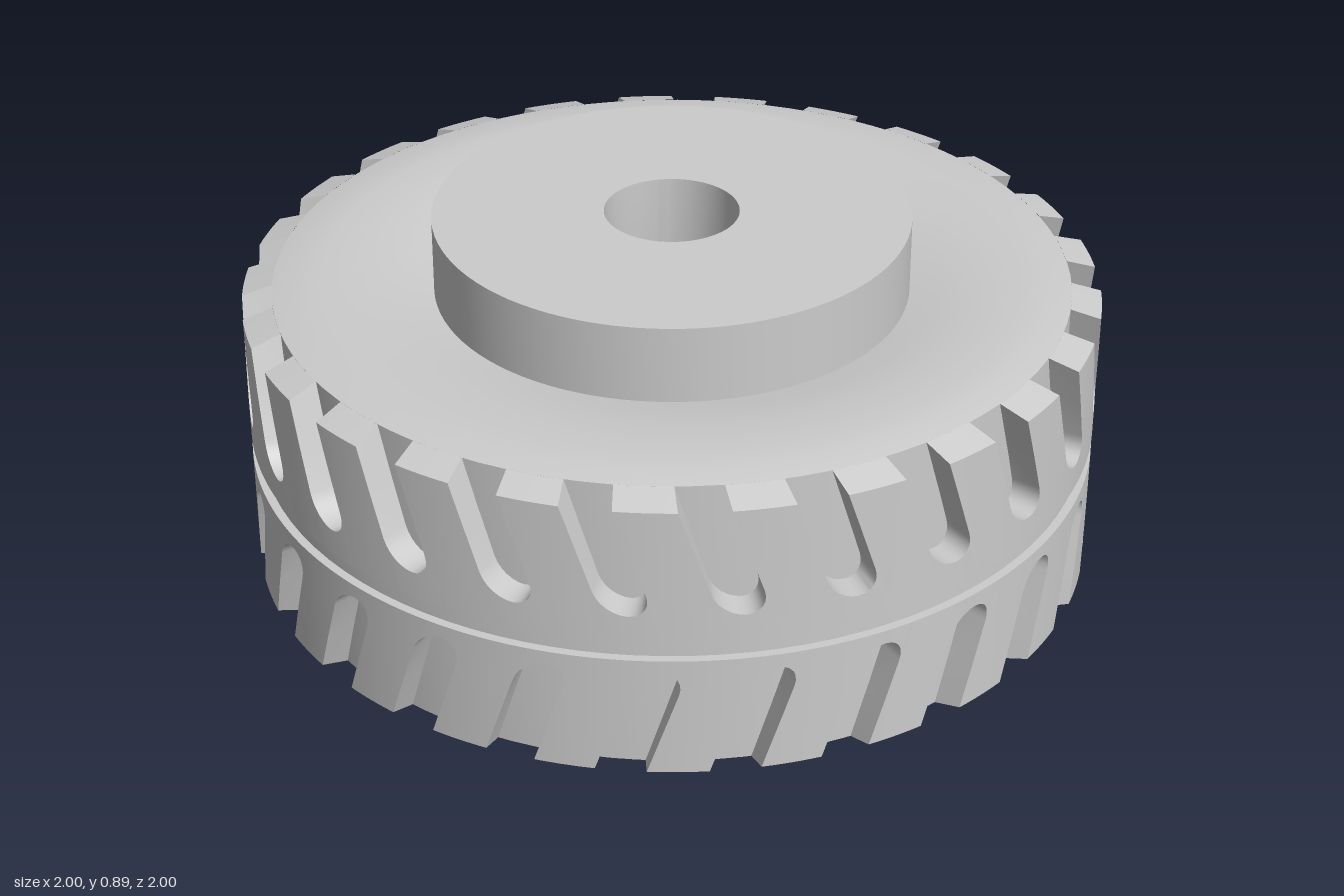
import * as THREE from 'three';
import { toCreasedNormals } from 'three/addons/utils/BufferGeometryUtils.js';

const COUNT = 25;                 // tread slots per side
const PITCH = (Math.PI * 2) / COUNT;
const HALF = 0.057;               // half width of a slot
const SKEW = -0.34;               // lean of the slots
const MID = 0.37;                 // height of the tread's middle
const FLOOR = 0.93;               // radius of the slot floor
const ARC = 0.13, SHOULDER = 0.335, RIM = 0.357;

const material = new THREE.MeshStandardMaterial({ color: 0xcccccc });

function addMesh(group, geometry, name) {
  const mesh = new THREE.Mesh(geometry, material);
  mesh.name = name;
  group.add(mesh);
  return mesh;
}

function lathe(points) {
  const geometry = new THREE.LatheGeometry(points.map(([r, y]) => new THREE.Vector2(r, y)), 100);
  return toCreasedNormals(geometry, 0.45);
}

// One side of the tread: lugs separated by slanted, round-ended slots.
// side is +1 (upper) or -1 (lower); h is the distance from the tread's middle.
function treadSide(side, start, phase) {
  const pos = [];
  const place = (u, h, r) => {
    const a = u + phase + SKEW * (h - ARC);
    return [r * Math.sin(a), MID + side * h, r * Math.cos(a)];
  };
  const quad = (a, b, c, d) => {
    const order = side > 0 ? [a, b, c, a, c, d] : [a, c, b, a, d, c];
    order.forEach((p) => pos.push(...p));
  };
  const slotEnd = (u) => ARC - Math.sqrt(Math.max(0, HALF * HALF - u * u));

  const slotCols = [], landCols = [];
  for (let i = 0; i <= 12; i++) slotCols.push(-HALF * Math.cos((Math.PI * i) / 12));
  for (let i = 0; i <= 6; i++) landCols.push(HALF + ((PITCH - 2 * HALF) * i) / 6);

  for (let k = 0; k < COUNT; k++) {
    const base = k * PITCH;
    const column = (u0, u1, rowsA, rowsB) => {
      for (let j = 0; j < rowsA.length - 1; j++) {
        quad(place(base + u0, ...rowsA[j]), place(base + u1, ...rowsB[j]),
          place(base + u1, ...rowsB[j + 1]), place(base + u0, ...rowsA[j + 1]));
      }
    };
    // Web between the slot end and the centre groove
    const web = (u) => [[start, 0.975], [start, 1], [slotEnd(u), 1]];
    for (let i = 0; i < 12; i++) column(slotCols[i], slotCols[i + 1], web(slotCols[i]), web(slotCols[i + 1]));
    // Lug with its bevelled shoulder
    const lug = [[start, 0.975], [start, 1], [ARC, 1], [0.235, 1], [SHOULDER, 1], [RIM, FLOOR]];
    for (let i = 0; i < 6; i++) column(landCols[i], landCols[i + 1], lug, lug);
    // Slot walls, down one side, round the end and up the other
    const sideWall = [[RIM, FLOOR], [SHOULDER, 1], [0.235, 1]];
    const wall = [
      ...sideWall.map(([h, r]) => [-HALF, h, r]),
      ...slotCols.map((u) => [u, slotEnd(u), 1]),
      ...sideWall.slice().reverse().map(([h, r]) => [HALF, h, r]),
    ];
    for (let i = 0; i < wall.length - 1; i++) {
      const [ua, ha, ra] = wall[i], [ub, hb, rb] = wall[i + 1];
      quad(place(base + ua, ha, ra), place(base + ub, hb, rb),
        place(base + ub, hb, FLOOR - 0.004), place(base + ua, ha, FLOOR - 0.004));
    }
  }
  const geometry = new THREE.BufferGeometry();
  geometry.setAttribute('position', new THREE.Float32BufferAttribute(pos, 3));
  return toCreasedNormals(geometry, 0.45);
}

export function createModel() {
  const group = new THREE.Group();
  group.name = 'wheel';

  // Tyre body: recess wall, dished sidewalls, slot floor and centre band
  addMesh(group, lathe([
    [0.49, 0.62], [0.49, 0.08], [0.5, 0.05], [0.53, 0.03], [0.62, 0.018], [0.7, 0.008],
    [0.82, 0], [0.88, 0.004], [FLOOR, 0.013],
    [FLOOR, 0.32], [0.98, 0.32], [0.98, 0.39], [FLOOR, 0.39],
    [FLOOR, 0.727], [0.88, 0.736], [0.82, 0.74], [0.7, 0.733], [0.62, 0.72], [0.55, 0.705],
  ]), 'tyreBody');

  addMesh(group, treadSide(1, 0.01, 0.03), 'upperTread');
  addMesh(group, treadSide(-1, 0.04, 0.1), 'lowerTread');

  // Hub: raised disc, through bore and the hollow post underneath
  addMesh(group, lathe([
    [0.555, 0.69], [0.555, 0.89], [0.157, 0.89], [0.157, 0.12], [0.163, 0.106], [0.178, 0.1],
    [0.212, 0.1], [0.228, 0.106], [0.235, 0.122], [0.235, 0.62], [0.495, 0.62],
  ]), 'hub');

  // Ribs joining the post to the recess wall
  for (let i = 0; i < 4; i++) {
    const geometry = new THREE.BoxGeometry(0.28, 0.23, 0.05).translate(0.36, 0.515, 0);
    addMesh(group, geometry, 'rib').rotation.y = (i * Math.PI) / 2;
  }
  return group;
}
